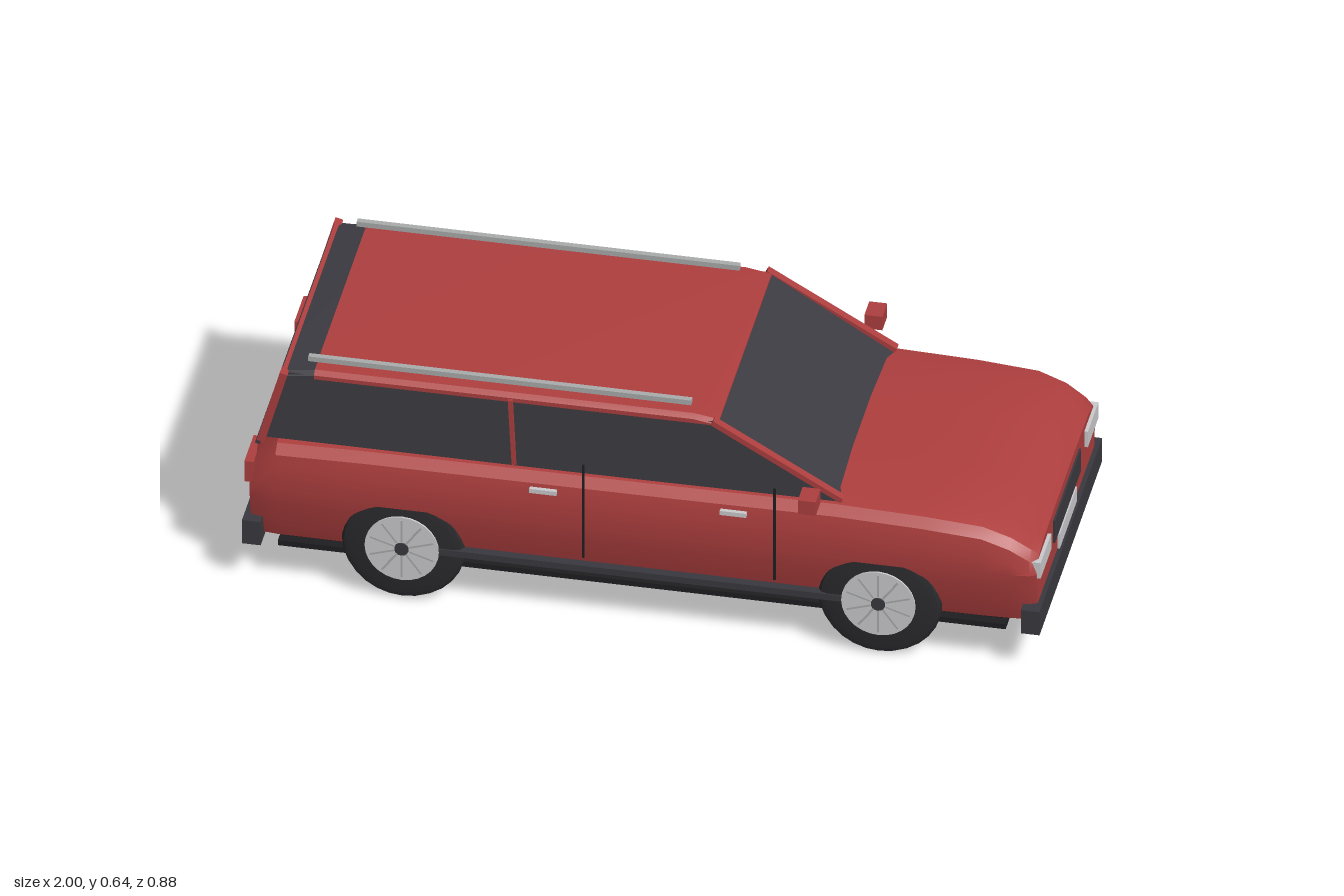
import * as THREE from 'three';
import { toCreasedNormals } from 'three/addons/utils/BufferGeometryUtils.js';

const mat = (name, color) => new THREE.MeshStandardMaterial({ name, color });

export function createModel() {
  const car = new THREE.Group();
  car.name = 'estateCar';
  const red = mat('redPaint', 0xad3e3e);
  const glass = mat('darkGlass', 0x3c3b42);
  const trim = mat('darkTrim', 0x38383e);
  const rubber = mat('tyreRubber', 0x2a2a2d);
  const under = mat('underside', 0x1e1e20);
  const light = mat('lightGrey', 0xcacacc);
  const rail = mat('railGrey', 0xa9acac);

  const add = (name, geo, material, parent = car) => {
    const m = new THREE.Mesh(geo, material);
    m.name = name;
    parent.add(m);
    return m;
  };
  // box given by its limits
  const box = (name, m, x0, x1, y0, y1, z0, z1) => {
    const b = add(name, new THREE.BoxGeometry(x1 - x0, y1 - y0, z1 - z0), m);
    b.position.set((x0 + x1) / 2, (y0 + y1) / 2, (z0 + z1) / 2);
    return b;
  };
  // bar running between two points of the side profile
  const beam = (name, m, [x0, y0], [x1, y1], thick, z, width) => {
    const b = add(name, new THREE.BoxGeometry(Math.hypot(x1 - x0, y1 - y0), thick, width), m);
    b.position.set((x0 + x1) / 2, (y0 + y1) / 2, z);
    b.rotation.z = Math.atan2(y1 - y0, x1 - x0);
    return b;
  };
  // skin over equal cross-sections along x, each a list of [z, y]
  const loft = (sections, crease) => {
    const pos = [], idx = [], n = sections[0].ring.length, last = (sections.length - 1) * n;
    sections.forEach(s => s.ring.forEach(([z, y]) => pos.push(s.x, y, z)));
    for (let i = 0; i < last; i += n) {
      for (let j = 0; j < n; j++) {
        const k = (j + 1) % n;
        idx.push(i + j, i + n + j, i + n + k, i + j, i + n + k, i + k);
      }
    }
    for (let j = 1; j < n - 1; j++) idx.push(0, j, j + 1, last, last + j + 1, last + j);
    const g = new THREE.BufferGeometry();
    g.setAttribute('position', new THREE.Float32BufferAttribute(pos, 3));
    g.setIndex(idx);
    return toCreasedNormals(g, crease);
  };
  const mirrored = half => [...half, ...half.slice().reverse().map(([z, y]) => [-z, y])];

  // lower body: x, top height, half width
  const bodySections = [
    [-0.985, 0.35, 0.368], [-0.96, 0.378, 0.374], [-0.92, 0.415, 0.379], [-0.7, 0.42, 0.38],
    [0, 0.422, 0.38], [0.48, 0.425, 0.38], [0.7, 0.418, 0.38], [0.85, 0.407, 0.379],
    [0.92, 0.382, 0.376], [0.97, 0.35, 0.37], [0.988, 0.334, 0.362],
  ].map(([x, top, w]) => ({
    x,
    ring: mirrored([
      [w * 0.91, 0.13], [w * 0.955, 0.18], [w * 0.982, 0.24], [w, 0.28],
      [w * 0.992, top - 0.07], [w * 0.97, top - 0.035], [w * 0.91, top - 0.013],
      [w * 0.75, top - 0.003], [w * 0.3, top],
    ]),
  }));
  add('lowerBody', loft(bodySections, 0.5), red);

  // cabin glass: a box leaned in at both ends and slightly at the sides
  const cabin = new THREE.BoxGeometry(2, 1, 2);
  const cp = cabin.attributes.position;
  for (let i = 0; i < cp.count; i++) {
    const up = cp.getY(i) > 0, front = cp.getX(i) > 0;
    cp.setXYZ(i, front ? (up ? 0.185 : 0.5) : (up ? -0.895 : -0.95),
      up ? 0.605 : 0.41, Math.sign(cp.getZ(i)) * (up ? 0.331 : 0.336));
  }
  cabin.computeVertexNormals();
  add('cabinGlass', cabin, glass);

  // roof panel with soft edges and the dark strip behind it
  const roofSection = (x, y) => ({
    x, ring: mirrored([[0.334, 0.596], [0.334, y - 0.012], [0.322, y - 0.002], [0.28, y]]),
  });
  add('roof', loft([roofSection(-0.83, 0.619), roofSection(0.12, 0.62), roofSection(0.185, 0.61)], 0.4), red);
  add('rearRoofStrip', loft([roofSection(-0.9, 0.608), roofSection(-0.83, 0.618)], 0.4), glass);
  beam('rearHeader', red, [-0.905, 0.608], [-0.91, 0.592], 0.012, 0, 0.66);
  beam('rearWindow', glass, [-0.912, 0.59], [-0.976, 0.372], 0.012, 0, 0.63);

  // underside, bumpers
  box('floorPan', under, -0.915, 0.91, 0.107, 0.122, -0.36, 0.36);
  box('chassis', under, -0.9, 0.9, 0.12, 0.135, -0.335, 0.335);
  box('frontBumper', trim, 0.953, 1, 0.118, 0.187, -0.385, 0.385);
  box('rearBumper', trim, -1, -0.953, 0.118, 0.187, -0.385, 0.385);

  // front and rear face
  box('grille', trim, 0.98, 0.993, 0.24, 0.306, -0.16, 0.16);
  box('frontPlate', light, 0.98, 0.994, 0.185, 0.231, -0.105, 0.105);
  box('rearPlate', light, -0.992, -0.98, 0.225, 0.27, -0.105, 0.105);

  for (const s of [1, -1]) {
    const side = (name, m, x0, x1, y0, y1, z0, z1) =>
      box(name, m, x0, x1, y0, y1, Math.min(s * z0, s * z1), Math.max(s * z0, s * z1));
    side('headlight', light, 0.955, 0.997, 0.267, 0.313, 0.225, 0.356);
    side('tailLight', red, -0.998, -0.975, 0.29, 0.35, 0.25, 0.365);
    side('mirror', red, 0.405, 0.45, 0.436, 0.476, 0.38, 0.44);
    side('roofRail', rail, -0.85, 0.11, 0.628, 0.642, 0.29, 0.305);
    side('sillStrip', trim, -0.68, 0.68, 0.147, 0.165, 0.355, 0.381);
    side('rearDoorSeam', under, -0.148, -0.142, 0.19, 0.465, 0.377, 0.382);
    side('frontDoorSeam', under, 0.331, 0.338, 0.19, 0.46, 0.377, 0.382);
    side('rearHandle', light, -0.28, -0.212, 0.367, 0.379, 0.374, 0.385);
    side('frontHandle', light, 0.198, 0.264, 0.367, 0.379, 0.374, 0.385);
    // pillars
    beam('frontPillar', red, [0.17, 0.608], [0.495, 0.42], 0.014, s * 0.332, 0.022);
    beam('middlePillar', red, [-0.337, 0.605], [-0.327, 0.415], 0.011, s * 0.33, 0.024);
    beam('rearPillar', red, [-0.904, 0.608], [-0.962, 0.4], 0.02, s * 0.331, 0.026);
  }

  // wheels: tyre, rim disc, dark spoke gaps and hub
  const tyreProfile = [[0.05, -0.05], [0.14, -0.05], [0.155, -0.042], [0.155, 0.032], [0.147, 0.046],
    [0.13, 0.052], [0.05, 0.052]].map(p => new THREE.Vector2(...p));
  const tyreGeo = toCreasedNormals(new THREE.LatheGeometry(tyreProfile, 28).rotateX(Math.PI / 2), 0.5);
  const rimGeo = new THREE.CylinderGeometry(0.093, 0.093, 0.09, 28).rotateX(Math.PI / 2);
  const gapGeo = new THREE.BoxGeometry(0.064, 0.005, 0.004).translate(0.052, 0, 0.0565);
  const hubGeo = new THREE.CylinderGeometry(0.018, 0.018, 0.02, 14).rotateX(Math.PI / 2);
  for (const x of [-0.6, 0.595]) {
    for (const s of [1, -1]) {
      const wheel = new THREE.Group();
      wheel.name = 'wheel';
      wheel.position.set(x, 0.155, s * 0.326);
      if (s < 0) wheel.rotation.y = Math.PI;
      add('tyre', tyreGeo, rubber, wheel);
      add('rim', rimGeo, light, wheel).position.z = 0.012;
      for (let i = 0; i < 10; i++) add('spokeGap', gapGeo, rail, wheel).rotation.z = (i + 0.5) * Math.PI / 5;
      add('hub', hubGeo, trim, wheel).position.z = 0.051;
      car.add(wheel);
    }
  }
  return car;
}
